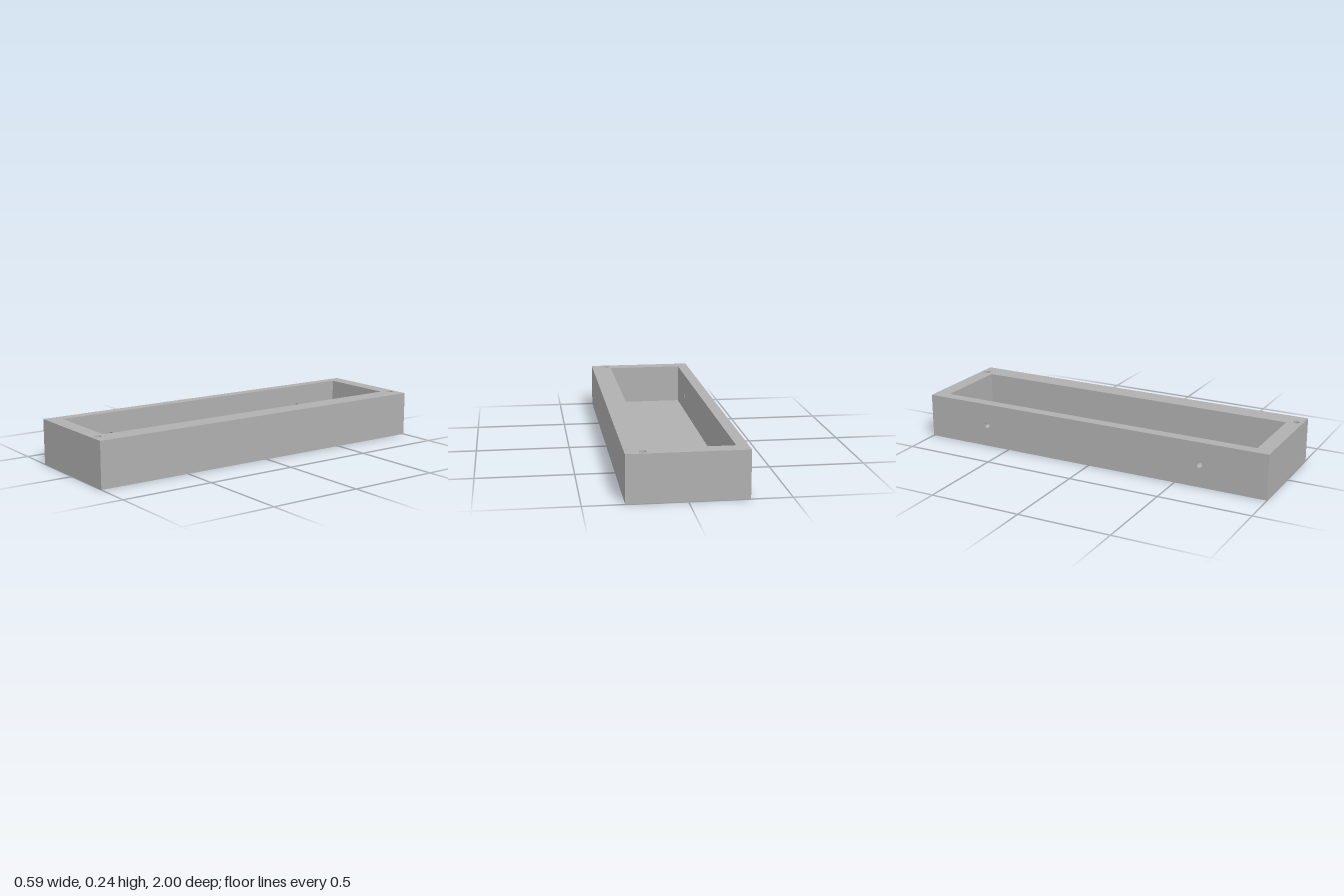
import * as THREE from 'three';
import { toCreasedNormals } from 'three/addons/utils/BufferGeometryUtils.js';

const SEG = 16;
const W = 0.297, H = 0.242, L = 1;                    // outer half width, height, half length
const X0 = -0.238, X1 = 0.185, ZC = 0.918, FLOOR = 0.024; // cavity
const HALF = Math.PI / 2;

export function createModel() {
  const group = new THREE.Group();
  group.name = 'openTray';
  const grey = new THREE.MeshStandardMaterial({ color: 0xb0b0b0 });
  grey.name = 'plainGrey';

  const add = (name, geometry, position, rotation) => {
    const mesh = new THREE.Mesh(geometry, grey);
    mesh.name = name;
    mesh.position.set(...position);
    mesh.rotation.set(...rotation);
    group.add(mesh);
  };

  const rect = (path, a0, a1, b0, b1) =>
    path.moveTo(a0, b0).lineTo(a1, b0).lineTo(a1, b1).lineTo(a0, b1).closePath();

  // Flat rectangular face with optional round holes [a, b, radius] and a cut-out
  const face = (name, bounds, position, rotation, holes = [], cutout) => {
    const shape = new THREE.Shape();
    rect(shape, ...bounds);
    for (const [a, b, r] of holes)
      shape.holes.push(new THREE.Path().absarc(a, b, r, 0, Math.PI * 2, true));
    if (cutout) {
      const path = new THREE.Path();
      rect(path, ...cutout);
      shape.holes.push(path);
    }
    add(name, new THREE.ShapeGeometry(shape, SEG), position, rotation);
  };

  // Inward-facing bore running down from its opening, closed at the end if blind
  const bore = (name, r, depth, blind, position, rotation) => {
    const profile = [new THREE.Vector2(r, 0), new THREE.Vector2(r, -depth)];
    if (blind) profile.push(new THREE.Vector2(0, -depth));
    add(name, toCreasedNormals(new THREE.LatheGeometry(profile, SEG), 0.6), position, rotation);
  };

  const pair = (a, b, r) => [[a, b, r], [a, -b, r]];
  const corner = pair(0.21, 0.963, 0.018);
  const drain = pair(0.114, 0.818, 0.015);
  const side = [[-0.635, 0.12, 0.015], [0.635, 0.12, 0.015]];
  const up = [-HALF, 0, 0], down = [HALF, 0, 0];

  // Horizontal faces
  face('topRim', [-W, W, -L, L], [0, H, 0], up, corner, [X0, X1, -ZC, ZC]);
  face('cavityFloor', [X0, X1, -ZC, ZC], [0, FLOOR, 0], up, drain);
  face('underside', [-W, W, -L, L], [0, 0, 0], down, [...corner, ...drain]);

  // Outer walls
  face('frontOuterWall', [-W, W, 0, H], [0, 0, L], [0, 0, 0]);
  face('backOuterWall', [-W, W, 0, H], [0, 0, -L], [0, Math.PI, 0]);
  face('plainOuterWall', [-L, L, 0, H], [W, 0, 0], [0, HALF, 0]);
  face('drilledOuterWall', [-L, L, 0, H], [-W, 0, 0], [0, -HALF, 0], side);

  // Cavity walls
  face('frontInnerWall', [-X1, -X0, FLOOR, H], [0, 0, ZC], [0, Math.PI, 0]);
  face('backInnerWall', [X0, X1, FLOOR, H], [0, 0, -ZC], [0, 0, 0]);
  face('plainInnerWall', [-ZC, ZC, FLOOR, H], [X1, 0, 0], [0, -HALF, 0]);
  face('drilledInnerWall', [-ZC, ZC, FLOOR, H], [X0, 0, 0], [0, HALF, 0], side);

  // Blind corner holes above and below, and through holes in floor and side
  for (const [x, z, r] of corner) {
    bore('topCornerHole', r, 0.08, true, [x, H, z], [0, 0, 0]);
    bore('bottomCornerHole', r, 0.08, true, [x, 0, z], [Math.PI, 0, 0]);
  }
  for (const [x, z, r] of drain)
    bore('floorHole', r, FLOOR, false, [x, FLOOR, z], [0, 0, 0]);
  for (const [z, y, r] of side)
    bore('sideHole', r, X0 + W, false, [X0, y, z], [0, 0, -HALF]);

  return group;
}
